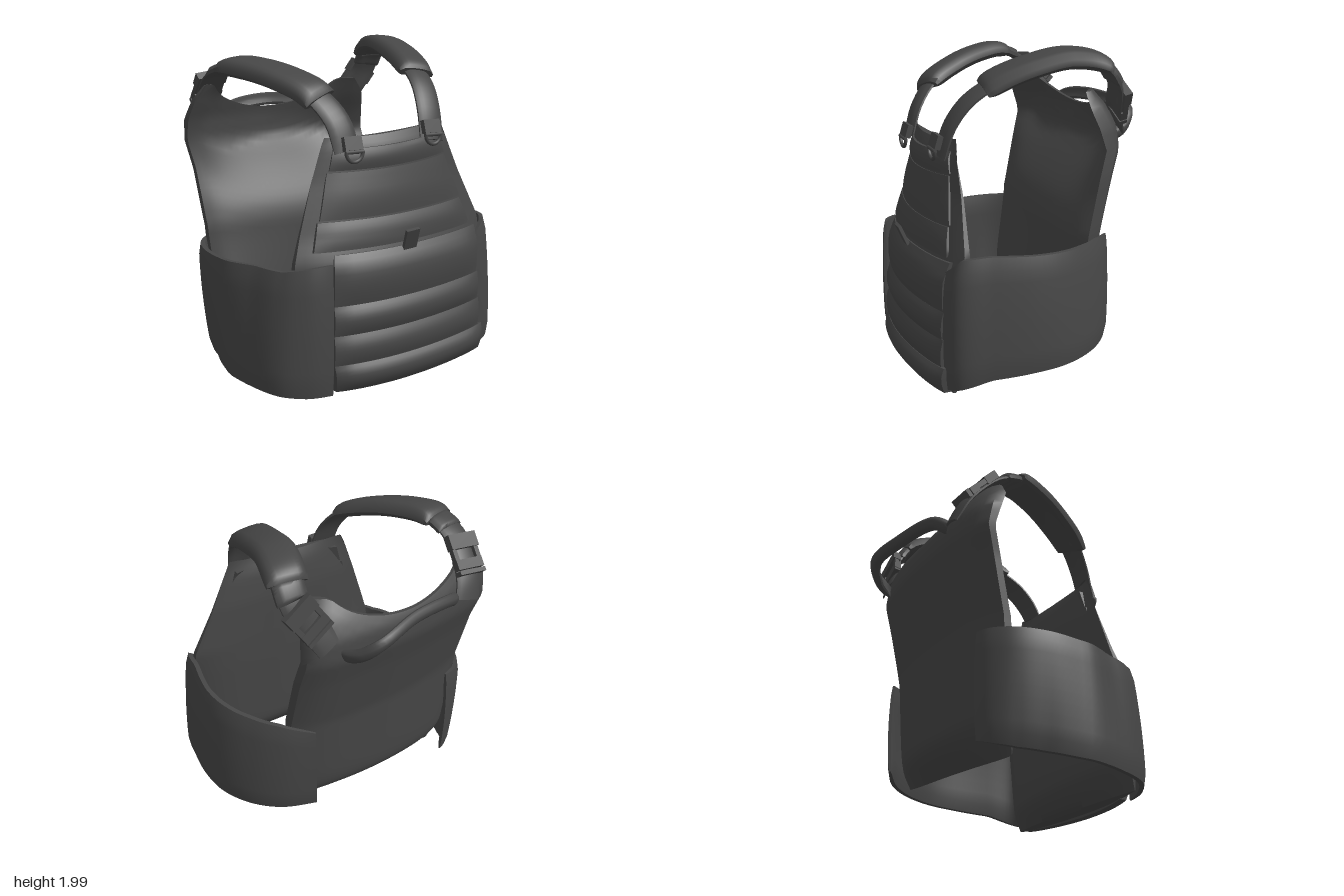
import * as THREE from 'three';
import { toCreasedNormals } from 'three/addons/utils/BufferGeometryUtils.js';

const V = (x, y, z) => new THREE.Vector3(x, y, z);
const { lerp, smoothstep } = THREE.MathUtils;

// Linear lookup in a short table of [key, value...]
function look(table, k, col = 1) {
  if (k <= table[0][0]) return table[0][col];
  for (let i = 1; i < table.length; i++) {
    const a = table[i - 1], b = table[i];
    if (k <= b[0]) return lerp(a[col], b[col], (k - a[0]) / (b[0] - a[0]));
  }
  return table[table.length - 1][col];
}

// Closed sheet between an outer and an inner surface, u in -1..1 and v in 0..1
function slab(nu, nv, surface) {
  const pos = [], idx = [], count = (nu + 1) * (nv + 1);
  for (const side of [1, -1])
    for (let j = 0; j <= nv; j++)
      for (let i = 0; i <= nu; i++) pos.push(...surface(i / nu * 2 - 1, j / nv, side).toArray());
  const f = (i, j) => j * (nu + 1) + i, b = (i, j) => count + f(i, j);
  const quad = (p, q, r, s) => idx.push(p, q, r, p, r, s);
  for (let j = 0; j < nv; j++)
    for (let i = 0; i < nu; i++) {
      quad(f(i, j), f(i + 1, j), f(i + 1, j + 1), f(i, j + 1));
      quad(b(i + 1, j), b(i, j), b(i, j + 1), b(i + 1, j + 1));
    }
  for (let i = 0; i < nu; i++) {
    quad(b(i, 0), b(i + 1, 0), f(i + 1, 0), f(i, 0));
    quad(f(i, nv), f(i + 1, nv), b(i + 1, nv), b(i, nv));
  }
  for (let j = 0; j < nv; j++) {
    quad(b(0, j), f(0, j), f(0, j + 1), b(0, j + 1));
    quad(f(nu, j), b(nu, j), b(nu, j + 1), f(nu, j + 1));
  }
  const g = new THREE.BufferGeometry();
  g.setAttribute('position', new THREE.Float32BufferAttribute(pos, 3));
  g.setIndex(idx);
  return toCreasedNormals(g, 0.8);
}

// Panel tables: [y, left edge, right edge, outer z, inner z]
const FRONT = [
  [0, -0.62, 0.66, 0.715, 0.53], [0.18, -0.65, 0.68, 0.73, 0.45], [0.75, -0.63, 0.71, 0.69, 0.43],
  [0.9, -0.58, 0.71, 0.645, 0.43], [1.2, -0.48, 0.57, 0.595, 0.43], [1.4, -0.41, 0.48, 0.575, 0.45], [1.5, -0.36, 0.43, 0.53, 0.48]];
const BACK = [
  [0.1, -0.64, 0.46, -0.37, -0.24], [0.28, -0.71, 0.51, -0.44, -0.21], [0.85, -0.75, 0.54, -0.47, -0.24],
  [1.2, -0.78, 0.52, -0.55, -0.32], [1.37, -0.81, 0.5, -0.6, -0.37], [1.5, -0.82, 0.48, -0.59, -0.32],
  [1.62, -0.79, 0.45, -0.54, -0.27], [1.72, -0.72, 0.38, -0.47, -0.28]];
const across = (t, y, u) => lerp(look(t, y, 1), look(t, y, 2), (u + 1) / 2);
const frontZ = (u, y) => look(FRONT, y, 3) - (u < 0 ? 0.11 : 0.075) * u * u;
const thin = (u, v) => (1 - 0.65 * Math.abs(u) ** 8) * (1 - 0.5 * Math.abs(2 * v - 1) ** 12);

function frontPanel(u, v, side) {
  const y = lerp(0.04 + 0.03 * u, 1.46 + 0.03 * u + 0.02 * u * u, v);
  const zo = frontZ(u, y), zi = look(FRONT, y, 4) + 0.05 * u * u;
  return V(across(FRONT, y, u), y, (zo + zi) / 2 + side * (zo - zi) / 2 * thin(u, v));
}

// u runs toward -x here so that the outer face looks backwards
function backPanel(u, v, side) {
  const w = -u, y = lerp(0.17 + 0.05 * w + 0.04 * side, 1.54 + 0.17 * Math.min(1, w * w * 1.4), v);
  const x = across(BACK, y, w), middle = 1 - w ** 4;
  const zo = look(BACK, y, 3) + 0.07 * w * w - 0.05 * x;
  const twist = 0.09 * x * (1 - smoothstep(y, 0.3, 0.9));
  const inner = look(BACK, y, 4) - smoothstep(y, 0.9, 1.5) * 0.22 * middle - twist;
  const zi = Math.max(inner, zo + 0.04);
  return V(x, y, (zo + zi) / 2 + side * (zo - zi) / 2 * thin(w, v));
}

// Padded ridge lying on the front panel
function ridge([y0, y1, u0, u1, depth]) {
  return slab(20, 8, (s, v, side) => {
    const u = lerp(u0, u1, (s + 1) / 2), y = lerp(y0, y1, v) + 0.03 * (u - 0.2) - 0.015 * (1 - u * u);
    const puff = depth * Math.sin(Math.PI * lerp(0.08, 0.92, v)) * (1 - 0.6 * s ** 10);
    return V(across(FRONT, y, u), y, frontZ(u, y) + (side > 0 ? puff : -0.04));
  });
}

// Waist band through [x, z, bottom y, top y, lean]; lean draws in the top, or the bottom if negative
function band(rows, thick) {
  const path = new THREE.CatmullRomCurve3(rows.map(r => V(r[0], 0, r[1])));
  const spread = rows.map((r, i) => [i / (rows.length - 1), r[2], r[3], r[4]]);
  return slab(44, 10, (u, v, side) => {
    const t = (u + 1) / 2, p = path.getPoint(t), tan = path.getTangent(t);
    const n = V(-tan.z, 0, tan.x), lean = look(spread, t, 3);
    const bulge = 0.012 * Math.sin(Math.PI * v) - (lean > 0 ? lean * v : -lean * (1 - v));
    p.addScaledVector(n, side * thick / 2 * thin(u, v) + bulge);
    p.y = lerp(look(spread, t, 1), look(spread, t, 2), v);
    return p;
  });
}

// Frame on a strap path: width, along, outward
function frame(path, t, hint) {
  const along = path.getTangent(t);
  const width = hint.clone().addScaledVector(along, -hint.dot(along)).normalize();
  return { p: path.getPoint(t), width, along, out: width.clone().cross(along) };
}
function strap(path, hint, t0, t1, width, thick, n = 36) {
  return slab(8, n, (u, v, side) => {
    const f = frame(path, lerp(t0, t1, v), hint);
    return f.p.addScaledVector(f.width, u * width / 2)
      .addScaledVector(f.out, side * thick / 2 * thin(u, v) - 0.012 * u * u);
  });
}

export function createModel() {
  const model = new THREE.Group();
  const fabric = new THREE.MeshStandardMaterial({ color: 0x464646 });
  fabric.name = 'dark grey fabric';
  const add = (name, geo, parent = model) => {
    const m = new THREE.Mesh(geo, fabric);
    m.name = name;
    parent.add(m);
    return m;
  };

  add('frontPanel', slab(28, 36, frontPanel));
  add('backPanel', slab(32, 36, backPanel));

  // Quilted ridges and flaps on the chest
  [[0.05, 0.21, -0.7, 0.97, 0.045], [0.21, 0.38, -0.7, 0.92, 0.03], [0.38, 0.55, -0.7, 0.9, 0.035],
    [0.55, 0.84, -0.7, 0.88, 0.035], [0.86, 1.02, -0.88, 0.8, 0.018], [1.03, 1.29, -0.86, 0.82, 0.014],
    [1.3, 1.42, -0.84, 0.84, 0.014]].forEach(r => add('chestRidge', ridge(r)));

  // Waist bands
  add('leftWaistBand', band([[0.62, 0.635, 0.08, 0.8, 0.01], [0.75, 0.59, 0.13, 0.9, 0.04], [0.81, 0.42, 0.19, 0.91, 0.06],
    [0.85, 0.17, 0.21, 0.9, 0.05], [0.835, -0.03, 0.22, 0.89, 0.06], [0.75, -0.22, 0.23, 0.88, 0.06],
    [0.62, -0.36, 0.24, 0.87, 0.04], [0.43, -0.47, 0.26, 0.83, 0]], 0.055));
  add('rightWaistBand', band([[-0.6, -0.41, 0.14, 0.78, 0], [-0.7, -0.37, 0.11, 0.77, -0.03], [-0.79, -0.27, 0.09, 0.76, -0.06],
    [-0.845, -0.1, 0.08, 0.75, -0.07], [-0.845, 0.1, 0.06, 0.74, -0.02], [-0.81, 0.35, 0.04, 0.74, 0.05],
    [-0.73, 0.55, 0.02, 0.73, 0.05], [-0.6, 0.635, 0.005, 0.75, 0.02], [-0.46, 0.675, 0.005, 0.77, 0]], 0.055));

  // Shoulder straps with pads, buckles and ring tabs
  const straps = [
    { name: 'left', hint: V(1, -0.08, 0), pad: [2.6, 6.2], buckle: 7.5, ring: V(0.31, 1.46, 0.555),
      pts: [[0.33, 1.4, 0.56], [0.35, 1.58, 0.5], [0.38, 1.72, 0.4], [0.41, 1.82, 0.25], [0.45, 1.9, 0.05],
        [0.49, 1.945, -0.18], [0.54, 1.9, -0.37], [0.54, 1.77, -0.46], [0.46, 1.63, -0.5], [0.38, 1.49, -0.56]] },
    { name: 'right', hint: V(1, 0.12, 0), pad: [1.8, 5.2], buckle: 6.9, ring: V(-0.26, 1.4, 0.56),
      pts: [[-0.28, 1.38, 0.56], [-0.31, 1.55, 0.5], [-0.38, 1.69, 0.38], [-0.47, 1.775, 0.2], [-0.56, 1.825, 0],
        [-0.62, 1.835, -0.17], [-0.65, 1.78, -0.32], [-0.64, 1.69, -0.43], [-0.62, 1.58, -0.52], [-0.58, 1.46, -0.58]] }];
  for (const s of straps) {
    const path = new THREE.CatmullRomCurve3(s.pts.map(p => V(...p)));
    add(s.name + 'ShoulderStrap', strap(path, s.hint, 0, 1, 0.17, 0.03));
    add(s.name + 'ShoulderPad', strap(path, s.hint, s.pad[0] / 9, s.pad[1] / 9, 0.24, 0.1));
    add(s.name + 'PadSleeve', strap(path, s.hint, (s.pad[1] - 0.1) / 9, (s.pad[1] + 0.6) / 9, 0.19, 0.06, 8));

    const f = frame(path, s.buckle / 9, s.hint), buckle = new THREE.Group();
    buckle.name = s.name + 'Buckle';
    buckle.applyMatrix4(new THREE.Matrix4().makeBasis(f.width, f.along, f.out).setPosition(f.p));
    const box = (name, w, h, d, x, y, z) => add(name, new THREE.BoxGeometry(w, h, d).translate(x, y, z), buckle);
    box('buckleSocket', 0.2, 0.09, 0.05, 0, -0.05, 0.015);
    box('buckleBase', 0.19, 0.06, 0.045, 0, 0.09, 0.01);
    box('buckleBar', 0.19, 0.025, 0.05, 0, 0.14, 0.01);
    for (const e of [-1, 1]) box('buckleProng', 0.03, 0.07, 0.03, e * 0.08, 0.03, 0.015);
    model.add(buckle);

    const tab = add(s.name + 'RingTab', new THREE.BoxGeometry(0.12, 0.08, 0.035));
    tab.position.copy(s.ring).add(V(0, 0.02, 0.01));
    tab.rotation.x = -0.3;
    const ring = new THREE.Group();
    ring.name = s.name + 'Ring';
    add('ringBow', new THREE.TorusGeometry(0.057, 0.011, 8, 18, Math.PI).rotateZ(Math.PI), ring);
    add('ringBar', new THREE.CylinderGeometry(0.011, 0.011, 0.125, 8).rotateZ(Math.PI / 2), ring);
    ring.position.copy(s.ring).add(V(0, -0.025, 0.035));
    model.add(ring);
  }

  // Carry handle behind the neck
  const handle = new THREE.CatmullRomCurve3([V(-0.5, 1.47, -0.55), V(-0.42, 1.53, -0.61), V(-0.1, 1.57, -0.68),
    V(0.17, 1.53, -0.74), V(0.26, 1.46, -0.68), V(0.31, 1.41, -0.58)]);
  add('carryHandle', strap(handle, V(0, 1, -0.35), 0, 1, 0.08, 0.05));

  // Small pull tab on the chest
  const pull = add('pullTab', new THREE.BoxGeometry(0.09, 0.13, 0.02));
  pull.position.set(0.06, 0.86, 0.71);
  pull.rotation.set(0.4, 0, 0.1);

  return model;
}
